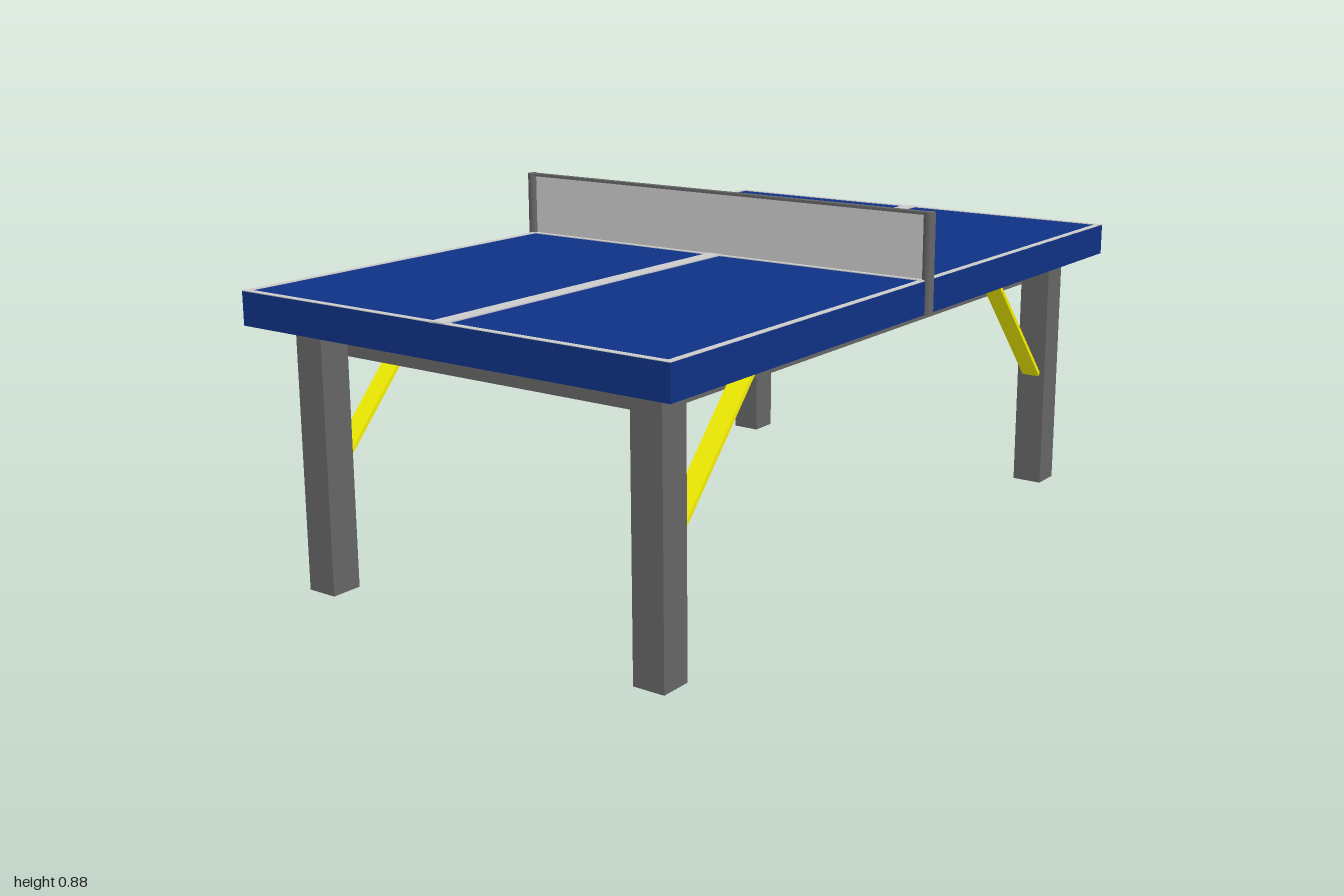
import * as THREE from 'three';

const mat = (color) => new THREE.MeshStandardMaterial({ color });

export function createModel() {
  const group = new THREE.Group();
  const blue = mat(0x0f3285), dark = mat(0x666666), white = mat(0xcccccc), yellow = mat(0xf4f000);

  const add = (name, geometry, material, x, y, z) => {
    const mesh = new THREE.Mesh(geometry, material);
    mesh.name = name;
    mesh.position.set(x, y, z);
    group.add(mesh);
    return mesh;
  };
  const box = (name, w, h, d, material, x, y, z) =>
    add(name, new THREE.BoxGeometry(w, h, d), material, x, y, z);

  // Table top and painted lines
  box('tableTop', 1.2, 0.08, 2, blue, 0, 0.68, 0);
  const lineY = 0.7205;
  box('centreLine', 0.04, 0.004, 2, white, 0, lineY + 0.0005, 0);
  box('middleLine', 1.2, 0.003, 0.035, white, 0, lineY, 0);

  for (const s of [-1, 1]) {
    box('sideLine', 0.016, 0.002, 2, white, s * 0.592, lineY, 0);
    box('endLine', 1.2, 0.002, 0.016, white, 0, lineY, s * 0.992);

    // Aprons between the legs: dark outside, blue inside
    const sideFaces = Array(6).fill(dark);
    sideFaces[s > 0 ? 1 : 0] = blue;
    box('sideApron', 0.006, 0.08, 1.68, sideFaces, s * 0.437, 0.6, 0);
    const endFaces = Array(6).fill(dark);
    endFaces[s > 0 ? 5 : 4] = blue;
    box('endApron', 0.88, 0.08, 0.006, endFaces, 0, 0.6, s * 0.837);

    // Net post
    add('netPost', new THREE.CylinderGeometry(0.014, 0.014, 0.24, 16), dark, s * 0.6, 0.76, 0);

    for (const t of [-1, 1]) {
      // Leg with coloured foot face
      const foot = s > 0 && t > 0 ? dark : blue;
      box('leg', 0.08, 0.64, 0.08, [dark, dark, dark, foot, dark, dark], s * 0.48, 0.32, t * 0.88);

      // Diagonal brace from the leg up to the table top
      const dy = 0.33, dz = -0.3 * t;
      const brace = box('brace', 0.05, Math.hypot(dy, dz), 0.01, yellow, s * 0.48, 0.475, t * 0.693);
      brace.rotation.x = Math.atan2(dz, dy);
    }
  }

  // Net and its top rail
  box('net', 1.19, 0.155, 0.008, white, 0, 0.7975, 0);
  box('netRail', 1.2, 0.007, 0.018, dark, 0, 0.8765, 0);

  return group;
}
